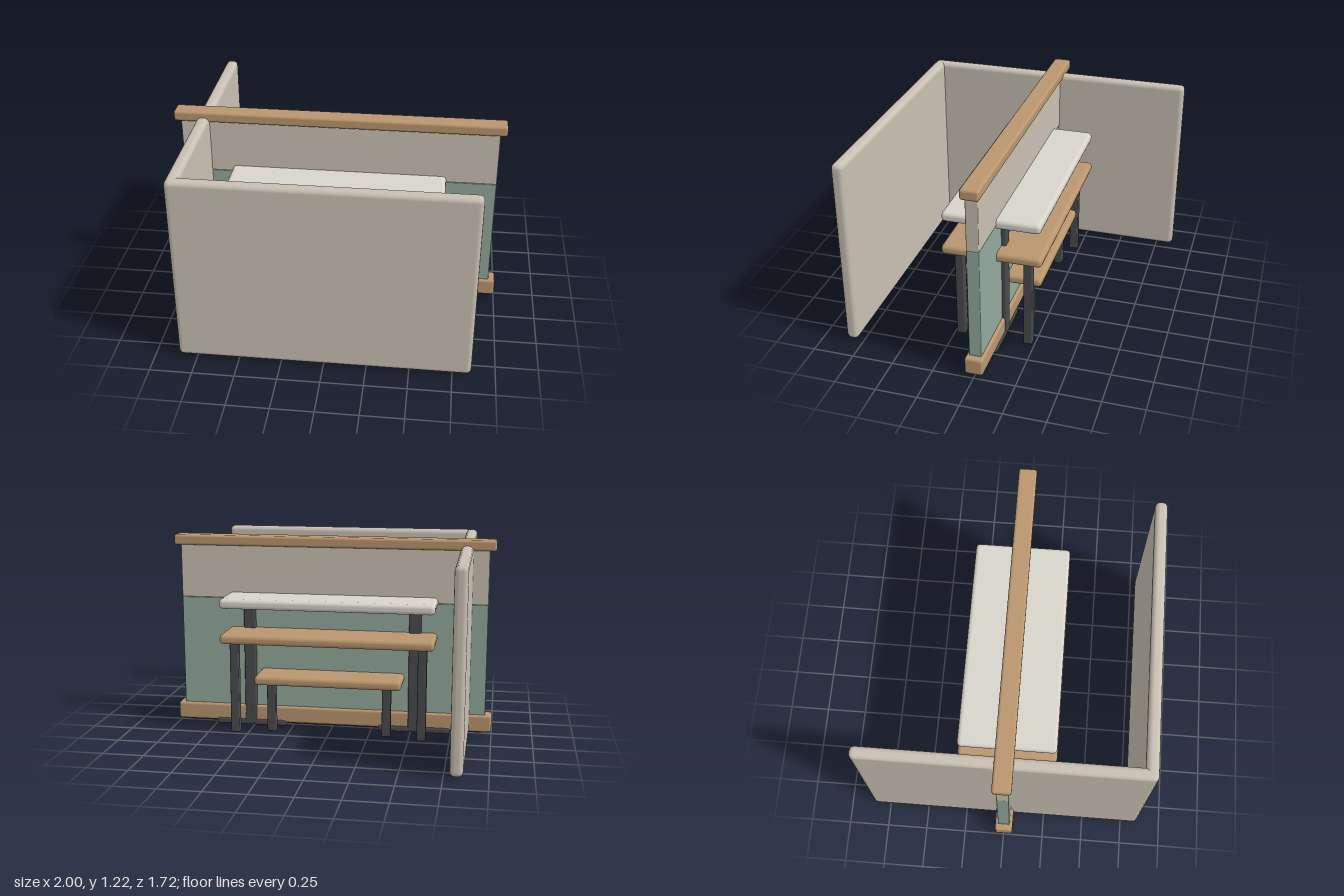
import * as THREE from 'three';
import { RoundedBoxGeometry } from 'three/addons/geometries/RoundedBoxGeometry.js';

const paint = (color) => new THREE.MeshStandardMaterial({ color });

export function createModel() {
  const model = new THREE.Group();
  const wall = paint(0xc9c0b3);
  const wood = paint(0xb9966e);
  const green = paint(0x93a99d);
  const pale = paint(0xd8d4cb);
  const dark = paint(0x484a4c);

  // Softly rounded block given by its extents on each axis
  function block(name, material, [x0, x1], [y0, y1], [z0, z1], radius) {
    const geometry = new RoundedBoxGeometry(x1 - x0, y1 - y0, z1 - z0, 2, radius);
    const mesh = new THREE.Mesh(geometry, material);
    mesh.name = name;
    mesh.position.set((x0 + x1) / 2, (y0 + y1) / 2, (z0 + z1) / 2);
    model.add(mesh);
    return mesh;
  }
  const around = (c, half) => [c - half, c + half];

  // L-shaped corner of two walls
  block('frontWall', wall, [-0.86, 0.86], [0.01, 1.18], [0.78, 0.855], 0.03);
  block('sideWall', wall, [-0.86, -0.785], [0.01, 1.18], [-0.86, 0.855], 0.03);

  // Central partition with a coloured lower half, cap and base rails
  block('partitionUpper', wall, around(0, 0.96), [0.82, 1.18], around(0, 0.037), 0.005);
  block('partitionLower', green, around(0, 0.96), [0.04, 0.82], around(0, 0.037), 0.005);
  block('capRail', wood, around(0, 1), [1.15, 1.215], around(0, 0.055), 0.016);
  block('baseRail', wood, around(0, 1), [0.022, 0.13], around(0, 0.055), 0.016);
  block('baseRunner', dark, around(0, 0.94), [0.008, 0.04], around(0, 0.02), 0.008);

  // Stepped tops: table, upper shelf and lower shelf
  block('tableTop', pale, around(0, 0.655), [0.795, 0.857], around(0, 0.295), 0.025);
  block('upperShelf', wood, around(0, 0.655), [0.577, 0.637], around(0, 0.303), 0.025);
  block('lowerShelf', wood, around(0, 0.455), [0.313, 0.373], around(0, 0.25), 0.025);

  // Table posts with long feet, and the shelf legs
  for (const sx of [-1, 1]) {
    block('tablePost', dark, around(sx * 0.52, 0.037), [0.01, 0.8], around(0, 0.064), 0.01);
    block('tableFoot', dark, around(sx * 0.52, 0.225), [0, 0.04], around(0, 0.062), 0.015);
    for (const sz of [-1, 1]) {
      block('upperShelfLeg', dark, around(sx * 0.58, 0.027), [0.003, 0.59], around(sz * 0.209, 0.027), 0.008);
      block('lowerShelfLeg', dark, around(sx * 0.36, 0.027), [0.003, 0.325], around(sz * 0.156, 0.027), 0.008);
    }
  }
  return model;
}
